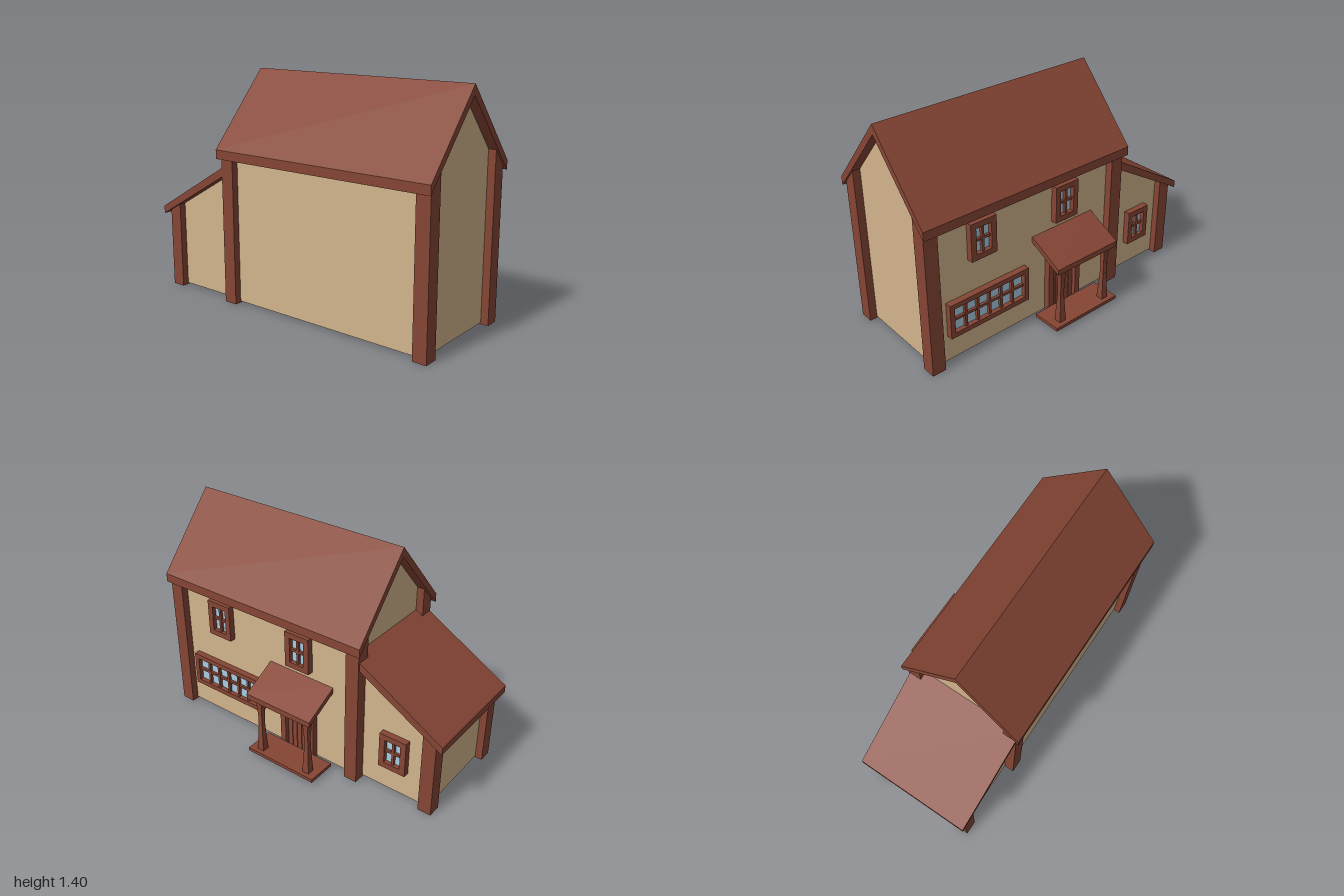
import * as THREE from 'three';

const mat = (color) => new THREE.MeshStandardMaterial({ color, flatShading: true });
const wood = mat(0x854534), plaster = mat(0xd2b48c), glass = mat(0xa8cde2);

function add(parent, name, geometry, material) {
  const mesh = new THREE.Mesh(geometry, material);
  mesh.name = name;
  parent.add(mesh);
  return mesh;
}

const outline = (points) => new THREE.Shape(points.map(([a, b]) => new THREE.Vector2(a, b)));
const rect = (a0, a1, b0, b1) => [[a0, b0], [a1, b0], [a1, b1], [a0, b1]];

// Extrude an (x, y) profile from z0 to z1
function alongZ(shape, z0, z1) {
  return new THREE.ExtrudeGeometry(shape, { depth: z1 - z0, bevelEnabled: false }).translate(0, 0, z0);
}

// Extrude a (z, y) profile from x0 to x1
function alongX(shape, x0, x1) {
  return new THREE.ExtrudeGeometry(shape, { depth: x1 - x0, bevelEnabled: false })
    .rotateY(-Math.PI / 2).translate(x1, 0, 0);
}

function box(x0, x1, y0, y1, z0, z1) {
  return new THREE.BoxGeometry(x1 - x0, y1 - y0, z1 - z0)
    .translate((x0 + x1) / 2, (y0 + y1) / 2, (z0 + z1) / 2);
}

// Window on a wall facing +x: frame, glazing bars and glass
function makeWindow(name, wallX, z0, z1, y0, y1, columns, rows, border) {
  const group = new THREE.Group();
  group.name = name;
  const [a0, a1, b0, b1] = [z0 + border, z1 - border, y0 + border, y1 - border];
  const shape = outline(rect(z0, z1, y0, y1));
  shape.holes.push(new THREE.Path(rect(a0, a1, b0, b1).map(([a, b]) => new THREE.Vector2(a, b))));
  add(group, 'windowFrame', alongX(shape, wallX - 0.01, wallX + 0.04), wood);
  add(group, 'windowGlass', box(wallX - 0.01, wallX + 0.012, b0, b1, a0, a1), glass);
  const bar = 0.008;
  for (let i = 1; i < columns; i++) {
    const z = a0 + ((a1 - a0) * i) / columns;
    add(group, 'verticalBar', box(wallX, wallX + 0.03, b0, b1, z - bar, z + bar), wood);
  }
  for (let i = 1; i < rows; i++) {
    const y = b0 + ((b1 - b0) * i) / rows;
    add(group, 'horizontalBar', box(wallX, wallX + 0.028, y - bar, y + bar, a0, a1), wood);
  }
  return group;
}

export function createModel() {
  const house = new THREE.Group();
  house.name = 'house';
  const cx = -0.08;
  const under = (x) => 1.34 - Math.abs(x - cx) * 1.125;

  // Main walls with gable ends
  const [wl, wr] = [-0.41, 0.245];
  add(house, 'mainWalls', alongZ(outline([
    [wl, 0.01], [wr, 0.01], [wr, under(wr)], [cx, under(cx)], [wl, under(wl)],
  ]), -0.41, 0.94), plaster);

  // Main pitched roof
  add(house, 'mainRoof', alongZ(outline([
    [cx - 0.397, 0.893], [cx, 1.34], [cx + 0.397, 0.893],
    [cx + 0.397, 0.948], [cx, 1.4], [cx - 0.397, 0.948],
  ]), -0.477, 1), wood);

  // Corner posts cut to the roof slope
  for (const side of [-1, 1]) {
    const inner = cx + side * 0.285, outer = cx + side * 0.372;
    const profile = outline([[inner, 0], [outer, 0], [outer, under(outer) + 0.01], [inner, under(inner) + 0.01]]);
    for (const z of [-0.457, 0.9]) add(house, 'cornerPost', alongZ(profile, z, z + 0.087), wood);
  }

  // Lean-to at the back
  const leanUnder = (z) => 0.785 + (z + 0.455) * 0.578;
  add(house, 'leanToWalls', alongX(outline([
    [-0.4, 0.01], [-0.4, leanUnder(-0.4)], [-0.91, leanUnder(-0.91)], [-0.91, 0.01],
  ]), -0.388, 0.222), plaster);
  add(house, 'leanToRoof', alongX(outline([
    [-0.41, leanUnder(-0.41)], [-0.41, 0.866], [-1, 0.518], [-1, leanUnder(-1)],
  ]), -0.448, 0.282), wood);
  const leanPost = outline([
    [-0.87, 0], [-0.87, leanUnder(-0.87) + 0.01], [-0.955, leanUnder(-0.955) + 0.01], [-0.955, 0],
  ]);
  for (const x of [-0.43, 0.18]) add(house, 'leanToPost', alongX(leanPost, x, x + 0.085), wood);

  // Windows
  house.add(
    makeWindow('upperFrontWindow', wr, 0.51, 0.685, 0.615, 0.85, 2, 2, 0.036),
    makeWindow('upperRearWindow', wr, -0.1, 0.073, 0.615, 0.85, 2, 2, 0.036),
    makeWindow('longWindow', wr, 0.283, 0.845, 0.178, 0.402, 6, 2, 0.031),
    makeWindow('leanToWindow', 0.222, -0.767, -0.59, 0.182, 0.413, 2, 2, 0.036),
  );

  // Door with frame and planks
  const door = new THREE.Group();
  door.name = 'door';
  const doorFrame = outline([
    [-0.132, 0.01], [-0.095, 0.01], [-0.095, 0.37], [0.083, 0.37],
    [0.083, 0.01], [0.122, 0.01], [0.122, 0.41], [-0.132, 0.41],
  ]);
  add(door, 'doorFrame', alongX(doorFrame, wr - 0.01, wr + 0.04), wood);
  const planks = 5, width = 0.178 / planks;
  for (let i = 0; i < planks; i++) {
    const z = -0.095 + i * width;
    add(door, 'doorPlank', box(wr - 0.01, wr + 0.015, 0.01, 0.372, z + 0.002, z + width - 0.002), wood);
  }
  add(door, 'doorBacking', box(wr - 0.01, wr + 0.009, 0.01, 0.372, -0.095, 0.083), wood);
  house.add(door);

  // Porch: step, sloped roof and waisted square columns
  const porch = new THREE.Group();
  porch.name = 'porch';
  add(porch, 'porchStep', box(0.285, 0.473, 0.02, 0.042, -0.268, 0.228), wood);
  add(porch, 'porchRoof', alongZ(outline([
    [0.235, 0.535], [0.47, 0.415], [0.47, 0.45], [0.235, 0.572],
  ]), -0.25, 0.222), wood);
  const columnProfile = [[0, 0.035], [0.023, 0.035], [0.022, 0.07], [0.014, 0.22], [0.014, 0.3], [0.021, 0.41], [0.021, 0.45], [0, 0.45]]
    .map(([r, y]) => new THREE.Vector2(r * Math.SQRT2, y));
  for (const z of [-0.198, 0.155]) {
    const column = new THREE.LatheGeometry(columnProfile, 4).rotateY(Math.PI / 4).translate(0.422, 0, z);
    add(porch, 'porchColumn', column, wood);
  }
  house.add(porch);

  return house;
}
